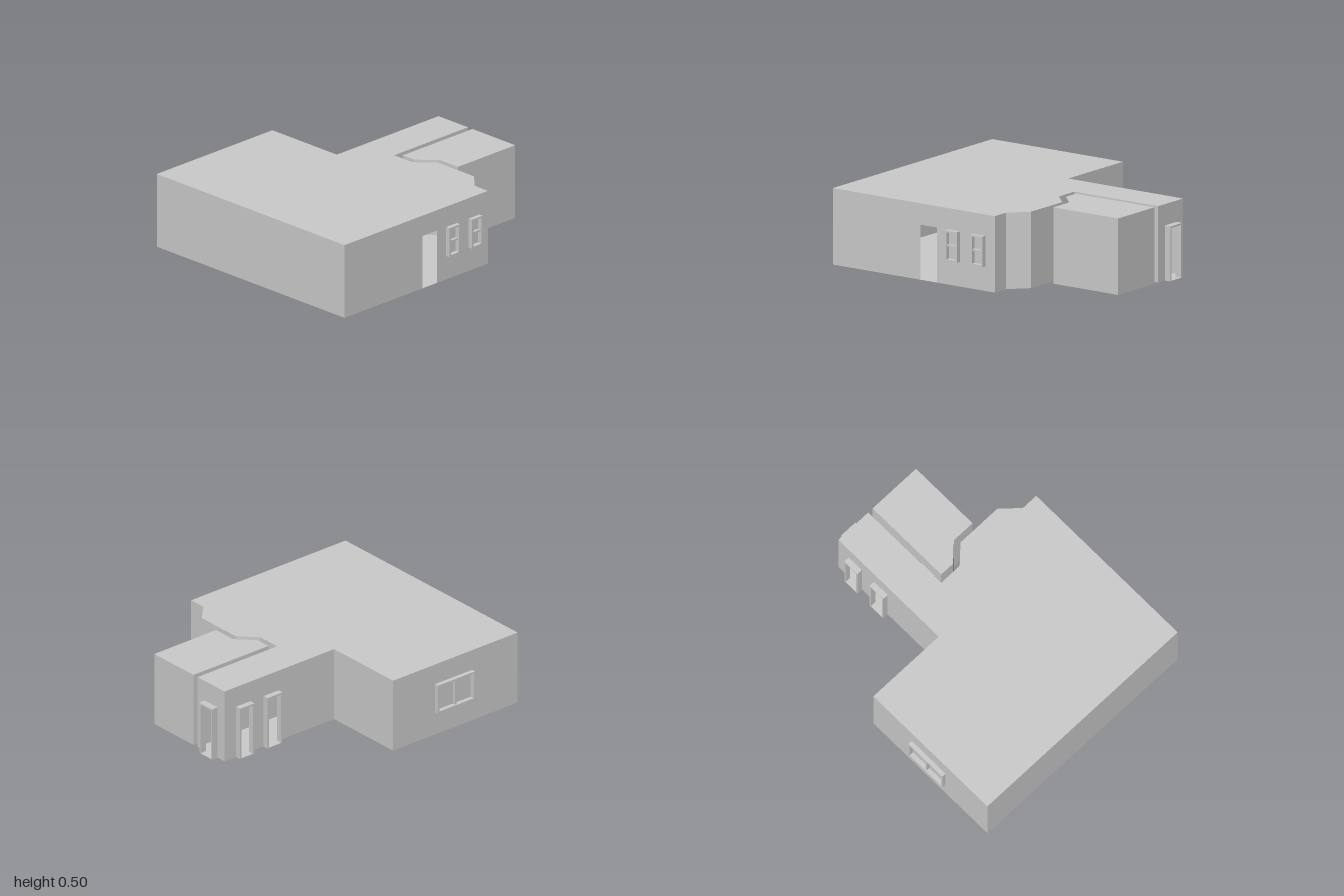
import * as THREE from 'three';

const HEIGHT = 0.5, DOOR_TOP = 0.36, SILL = 0.16, RIM = 0.012;
const material = new THREE.MeshStandardMaterial({ color: 0xcccccc, side: THREE.DoubleSide, flatShading: true });

function add(parent, name, geometry) {
  const mesh = new THREE.Mesh(geometry, material);
  mesh.name = name;
  parent.add(mesh);
  return mesh;
}

const toShape = (points) => new THREE.Shape(points.map(([x, y]) => new THREE.Vector2(x, y)));

// Thin wall from a to b; doors are [start, end] distances measured from a
function addWall(parent, a, b, doors = []) {
  const dx = b[0] - a[0], dz = b[1] - a[1], length = Math.hypot(dx, dz);
  const outline = [[0, 0]];
  for (const [s, e] of doors) outline.push([s, 0], [s, DOOR_TOP], [e, DOOR_TOP], [e, 0]);
  outline.push([length, 0], [length, HEIGHT], [0, HEIGHT]);
  const wall = add(parent, 'wall', new THREE.ShapeGeometry(toShape(outline)));
  wall.position.set(a[0], 0, a[1]);
  wall.rotation.y = Math.atan2(-dz, dx);
}

// Hollow room: floor, roof and one wall per footprint edge (x, z corners)
function addRoom(parent, name, corners, doorsByEdge) {
  const room = new THREE.Group();
  room.name = name;
  const slab = new THREE.ShapeGeometry(toShape(corners)).rotateX(Math.PI / 2);
  add(room, 'floor', slab);
  add(room, 'roof', slab).position.y = HEIGHT;
  corners.forEach((a, i) => addWall(room, a, corners[(i + 1) % corners.length], doorsByEdge[i]));
  parent.add(room);
}

// Frame standing out of a wall; its local z points outward
function addFrame(parent, name, { x, z, turn, width, depth, bottom, bar }) {
  const frame = new THREE.Group();
  frame.name = name;
  frame.position.set(x, 0, z);
  frame.rotation.y = turn;
  const w = width / 2, inner = w - RIM, top = DOOR_TOP - RIM;
  const low = bottom > 0 ? bottom + RIM : 0.004;
  const shape = toShape([[-w, bottom], [w, bottom], [w, DOOR_TOP], [-w, DOOR_TOP]]);
  shape.holes.push(new THREE.Path(
    [[-inner, low], [-inner, top], [inner, top], [inner, low]].map(([px, py]) => new THREE.Vector2(px, py))));
  add(frame, 'surround', new THREE.ExtrudeGeometry(shape, { depth, bevelEnabled: false }));

  // Dividing bar of a window
  if (bar) {
    const size = bar === 'across' ? [inner * 2, RIM] : [RIM, top - low];
    add(frame, 'bar', new THREE.BoxGeometry(...size, depth * 0.7))
      .position.set(0, (top + low) / 2, depth * 0.35);
  }
  parent.add(frame);
}

export function createModel() {
  const model = new THREE.Group();
  model.name = 'building';

  // Main hall with bay and narrow back wing
  addRoom(model, 'mainHall', [
    [-0.845, 1], [0.845, 1], [0.845, -0.29], [0.725, -0.29], [0.61, -0.4], [0.28, -0.4],
    [0.165, -0.29], [0, -0.29], [0, -0.955], [-0.265, -0.955], [-0.265, -0.04], [-0.845, -0.04],
  ], {
    1: [[0.7, 0.83]],
    7: [[0.11, 0.21]],
    8: [[0.08, 0.185]],
    9: [[0.105, 0.205], [0.335, 0.44]],
  });

  // Separate back room
  addRoom(model, 'backRoom', [
    [0.04, -0.955], [0.425, -0.955], [0.425, -0.44], [0.26, -0.44], [0.145, -0.33], [0.04, -0.33],
  ], { 5: [[0.07, 0.17]] });

  // Doorways
  const left = Math.PI / 2, right = -Math.PI / 2;
  const doors = [
    { x: -0.265, z: -0.8, turn: right, width: 0.12 },
    { x: -0.265, z: -0.567, turn: right, width: 0.125 },
    { x: -0.133, z: -0.955, turn: Math.PI, width: 0.125 },
    { x: 0, z: -0.45, turn: left, width: 0.12 },
  ];
  for (const d of doors) {
    addFrame(model, 'doorway', { ...d, depth: d.turn === Math.PI ? 0.045 : 0.04, bottom: 0 });
  }

  // Windows
  for (const z of [0.037, -0.165]) {
    addFrame(model, 'window', { x: 0.845, z, turn: left, width: 0.097, depth: 0.03, bottom: SILL, bar: 'across' });
  }
  addFrame(model, 'wideWindow', {
    x: -0.845, z: 0.465, turn: right, width: 0.31, depth: 0.03, bottom: SILL, bar: 'upright',
  });
  return model;
}
